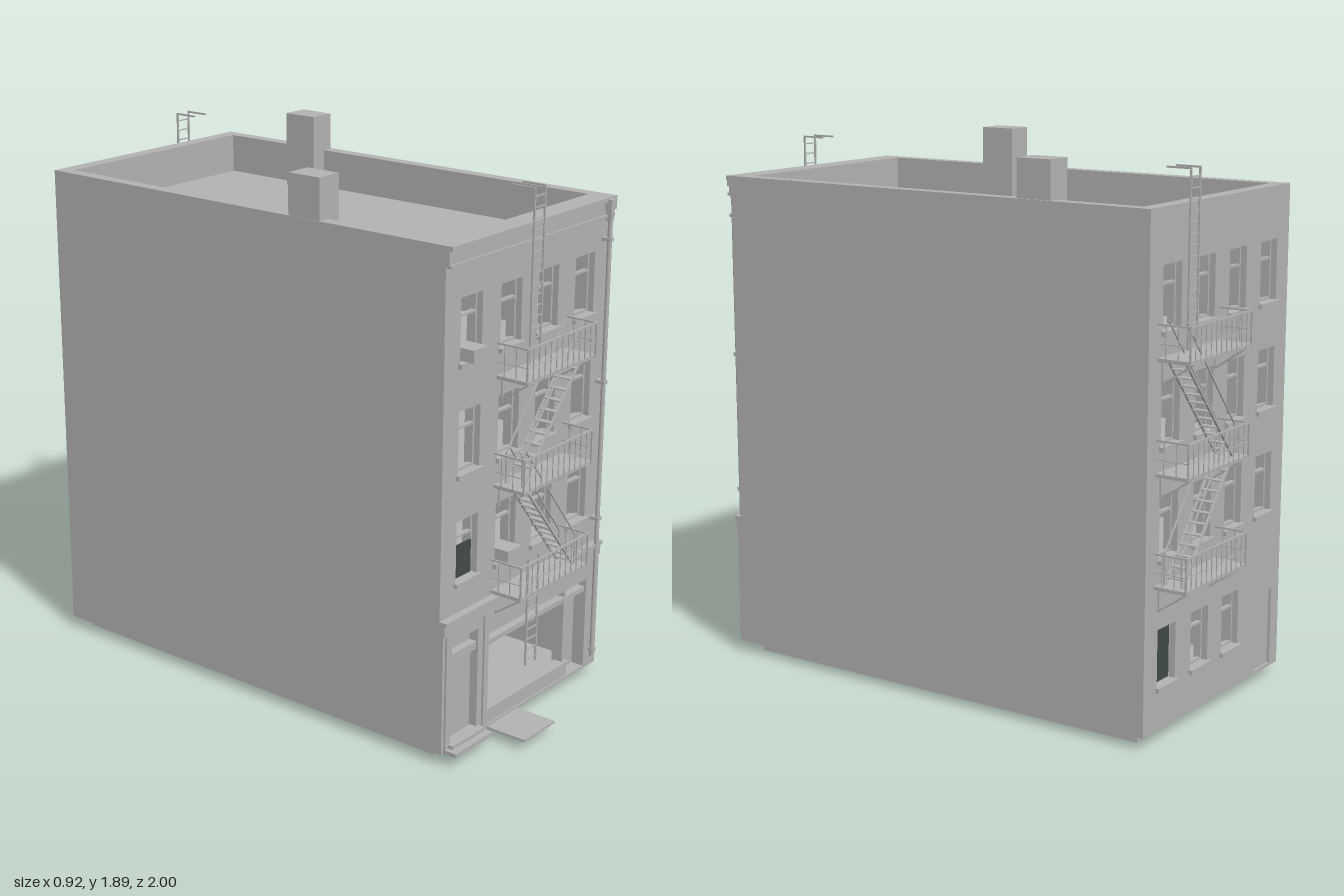
import * as THREE from 'three';

const masonry = new THREE.MeshStandardMaterial({ name: 'masonry grey', color: 0xb2b2b2 });
const darkPane = new THREE.MeshStandardMaterial({ name: 'dark pane', color: 0x414a48 });

// Box given by its limits
function box(parent, name, x0, x1, y0, y1, z0, z1, mat = masonry) {
  const m = new THREE.Mesh(new THREE.BoxGeometry(x1 - x0, y1 - y0, Math.abs(z1 - z0)), mat);
  m.position.set((x0 + x1) / 2, (y0 + y1) / 2, (z0 + z1) / 2);
  m.name = name;
  parent.add(m);
  return m;
}

// Square bar between two points
function bar(parent, name, a, b, t = 0.005) {
  const p = new THREE.Vector3(...a), q = new THREE.Vector3(...b);
  const m = new THREE.Mesh(new THREE.BoxGeometry(t, t, p.distanceTo(q)), masonry);
  m.position.copy(p).add(q).multiplyScalar(0.5);
  m.lookAt(q);
  m.name = name;
  parent.add(m);
}

// Upright wall with rectangular openings [x0, x1, y0, y1]
function wall(parent, name, x0, x1, y0, y1, z0, z1, openings) {
  const rect = (S, a, b, c, d) => {
    const s = new S();
    s.moveTo(a, c); s.lineTo(b, c); s.lineTo(b, d); s.lineTo(a, d); s.closePath();
    return s;
  };
  const shape = rect(THREE.Shape, x0, x1, y0, y1);
  for (const o of openings) shape.holes.push(rect(THREE.Path, ...o));
  const m = new THREE.Mesh(new THREE.ExtrudeGeometry(shape, { depth: z1 - z0, bevelEnabled: false }), masonry);
  m.position.z = z0;
  m.name = name;
  parent.add(m);
}

const HALF = 0.0575;
const columns = [-0.32, -0.105, 0.105, 0.32];
const rows = [0.62, 0.99, 1.36];

// Sash frame, meeting rail and sill; dir is the outward z direction
function windowFrame(parent, x, y, h, face, dir) {
  const g = new THREE.Group();
  g.name = 'window';
  const a = face - dir * 0.022, b = face - dir * 0.037, t = 0.008;
  for (const s of [-1, 1]) {
    const c = x + s * (HALF - t / 2);
    box(g, 'sashStile', c - t / 2, c + t / 2, y, y + h, a, b);
  }
  for (const r of [0, h * 0.66, h - t]) box(g, 'sashRail', x - HALF, x + HALF, y + r, y + r + t, a, b);
  box(g, 'sill', x - 0.067, x + 0.067, y - 0.016, y, face - dir * 0.02, face + dir * 0.014);
  parent.add(g);
}

// Pair of rails with rungs between two points
function ladder(parent, name, x, y0, y1, z) {
  const g = new THREE.Group();
  g.name = name;
  for (const s of [-1, 1]) bar(g, 'ladderRail', [x + s * 0.029, y0, z], [x + s * 0.029, y1, z], 0.006);
  for (let y = y0 + 0.02; y < y1 - 0.01; y += 0.036) bar(g, 'rung', [x - 0.029, y, z], [x + 0.029, y, z], 0.004);
  parent.add(g);
  return g;
}

function fireEscape(name, cx, face, dir) {
  const g = new THREE.Group();
  g.name = name;
  const Z = (o) => face + dir * o;
  const out = 0.118, decks = [0.53, 0.9, 1.27];
  for (const y of decks) {
    box(g, 'deck', cx - 0.197, cx + 0.197, y - 0.003, y + 0.009, Z(0), Z(out));
    // Railing on three sides
    for (const h of [0.055, 0.117]) {
      const t = h < 0.1 ? 0.003 : 0.006;
      bar(g, 'railing', [cx - 0.197, y + h, Z(out)], [cx + 0.197, y + h, Z(out)], t);
      for (const s of [-1, 1]) bar(g, 'railing', [cx + s * 0.197, y + h, Z(0)], [cx + s * 0.197, y + h, Z(out)], t);
    }
    for (let i = 0; i <= 12; i++) {
      const x = cx - 0.197 + i * 0.394 / 12;
      bar(g, 'baluster', [x, y, Z(out)], [x, y + 0.117, Z(out)], i % 12 ? 0.003 : 0.006);
    }
    for (const s of [-1, 1]) {
      for (const o of [0.03, 0.075]) bar(g, 'baluster', [cx + s * 0.197, y, Z(o)], [cx + s * 0.197, y + 0.117, Z(o)], 0.003);
      // Bracket under the deck
      bar(g, 'bracket', [cx + s * 0.168, y - 0.082, Z(0)], [cx + s * 0.168, y, Z(out)], 0.006);
      bar(g, 'bracket', [cx + s * 0.168, y - 0.085, Z(0.003)], [cx + s * 0.168, y, Z(0.003)], 0.006);
    }
  }
  // Two zigzag flights of stairs
  const flights = [[0.168, 0.53, -0.14, 0.9], [-0.16, 0.9, 0.165, 1.27]];
  for (const [xa, ya, xb, yb] of flights) {
    for (const o of [0.022, 0.085]) {
      bar(g, 'stringer', [cx + xa, ya, Z(o)], [cx + xb, yb, Z(o)], 0.008);
      bar(g, 'handrail', [cx + xa, ya + 0.115, Z(o)], [cx + xb, yb + 0.125, Z(o)], 0.005);
      bar(g, 'handrailPost', [cx + xa, ya, Z(o)], [cx + xa, ya + 0.115, Z(o)], 0.005);
    }
    for (let i = 1; i < 12; i++) {
      const x = cx + xa + (xb - xa) * i / 12, y = ya + (yb - ya) * i / 12;
      box(g, 'tread', x - 0.011, x + 0.011, y - 0.002, y + 0.002, Z(0.022), Z(0.085));
    }
  }
  // Roof ladder with hooked top
  const l = ladder(g, 'roofLadder', cx, 1.27, 1.86, Z(0.012));
  for (const s of [-1, 1]) bar(l, 'ladderHook', [cx + s * 0.029, 1.857, Z(0.014)], [cx + s * 0.029, 1.857, Z(-0.075)], 0.006);
  return g;
}

export function createModel() {
  const model = new THREE.Group();
  model.name = 'apartmentBuilding';

  // Shell: base, side walls, floors and roof
  const W = 0.46, F = 0.83, B = -0.882;
  box(model, 'base', -0.41, 0.41, 0, 0.04, -0.83, 0.78);
  for (const [a, b] of [[-W, -0.415], [0.415, W]]) box(model, 'sideWall', a, b, 0.04, 1.75, B, F);
  for (const y of [0.04, 0.5, 0.87, 1.24, 1.6]) {
    box(model, y > 1.5 ? 'roof' : 'floor', -0.415, 0.415, y, y + 0.012, -0.83, 0.77);
  }

  // Front and back walls
  const upper = rows.flatMap((y) => columns.map((x) => [x - HALF, x + HALF, y, y + 0.21]));
  const frontDoor = [-0.41, -0.265, 0.055, 0.425], shop = [-0.21, 0.385, 0.05, 0.385];
  wall(model, 'frontWall', -0.415, 0.415, 0.04, 1.75, 0.77, F, [...upper, frontDoor, shop]);
  wall(model, 'shopFront', -W, W, 0.04, 0.46, F, 0.845, [frontDoor, shop]);
  const low = columns.slice(1).map((x) => [x - HALF, x + HALF, 0.19, 0.385]);
  const backDoor = [-0.405, -0.285, 0.05, 0.325];
  wall(model, 'backWall', -0.415, 0.415, 0.04, 1.75, B, -0.83, [...upper, ...low, backDoor]);
  for (const x of columns) {
    for (const y of rows) {
      windowFrame(model, x, y, 0.21, F, 1);
      windowFrame(model, x, y, 0.21, B, -1);
    }
    if (x > -0.3) windowFrame(model, x, 0.19, 0.195, B, -1);
  }

  // Dark panes and air conditioners
  box(model, 'darkWindowPane', -0.371, -0.272, 0.622, 0.735, 0.806, 0.812, darkPane);
  box(model, 'darkBackPane', 0.27, 0.37, 0.195, 0.38, -0.862, -0.856, darkPane);
  for (const [x, y] of [[-0.322, 1.362], [-0.105, 0.622]]) {
    box(model, 'airConditioner', x - 0.038, x + 0.038, y, y + 0.042, 0.78, 0.87);
  }

  // Cornice and belt course
  box(model, 'cornice', -W, W, 1.68, 1.75, F, 0.842);
  box(model, 'corniceLip', -W, W, 1.735, 1.75, 0.842, 0.855);
  box(model, 'corniceBead', -W, W, 1.68, 1.69, 0.842, 0.85);
  box(model, 'beltCourse', -W, W, 0.46, 0.5, F, 0.85);
  box(model, 'beltLip', -W, W, 0.5, 0.512, F, 0.858);

  // House door with transom and steps
  box(model, 'frontDoor', -0.41, -0.265, 0.055, 0.35, 0.8, 0.815);
  box(model, 'transomBar', -0.41, -0.265, 0.35, 0.378, 0.8, 0.838);
  box(model, 'transomPanel', -0.41, -0.265, 0.378, 0.425, 0.8, 0.81);
  for (const x of [-0.435, -0.225]) box(model, 'pilaster', x - 0.012, x + 0.012, 0.04, 0.46, 0.845, 0.852);
  box(model, 'lowerStep', -0.447, -0.24, 0.04, 0.055, 0.845, 0.895);
  box(model, 'upperStep', -0.43, -0.25, 0.055, 0.068, 0.82, 0.87);

  // Shop window, its bulkhead and its door
  box(model, 'bulkhead', -0.21, 0.285, 0.045, 0.105, 0.81, 0.84);
  box(model, 'bulkheadSill', -0.21, 0.285, 0.1, 0.108, 0.805, 0.848);
  box(model, 'shopTransom', -0.21, 0.385, 0.338, 0.356, 0.8, 0.838);
  box(model, 'shopMullion', 0.26, 0.272, 0.105, 0.385, 0.8, 0.835);
  box(model, 'shopDoor', 0.272, 0.385, 0.05, 0.338, 0.785, 0.797);
  box(model, 'cellarHatch', -0.2, -0.02, 0.033, 0.041, 0.83, 0.997);

  // Back door
  box(model, 'backDoor', -0.405, -0.285, 0.05, 0.325, -0.872, -0.86);

  // Drainpipe with hopper and clips
  const pipe = new THREE.Mesh(new THREE.CylinderGeometry(0.008, 0.008, 1.6, 10), masonry);
  pipe.position.set(0.423, 0.88, 0.856);
  pipe.name = 'drainpipe';
  model.add(pipe);
  box(model, 'drainHopper', 0.406, 0.44, 1.71, 1.745, 0.84, 0.868);
  box(model, 'drainNeck', 0.414, 0.432, 1.67, 1.71, 0.84, 0.864);
  for (const y of [0.1, 0.6, 1.1, 1.6]) box(model, 'pipeClip', 0.412, 0.434, y, y + 0.012, F, 0.866);

  // Chimneys
  box(model, 'chimney', -0.458, -0.362, 1.6, 1.89, 0.2, 0.33);
  box(model, 'chimney', 0.357, 0.453, 1.6, 1.88, -0.51, -0.38);

  // Fire escapes, with a drop ladder at the front only
  const front = fireEscape('frontFireEscape', 0, 0.843, 1);
  ladder(front, 'dropLadder', -0.116, 0.28, 0.665, 0.953);
  model.add(front, fireEscape('backFireEscape', 0.21, B, -1));
  return model;
}
